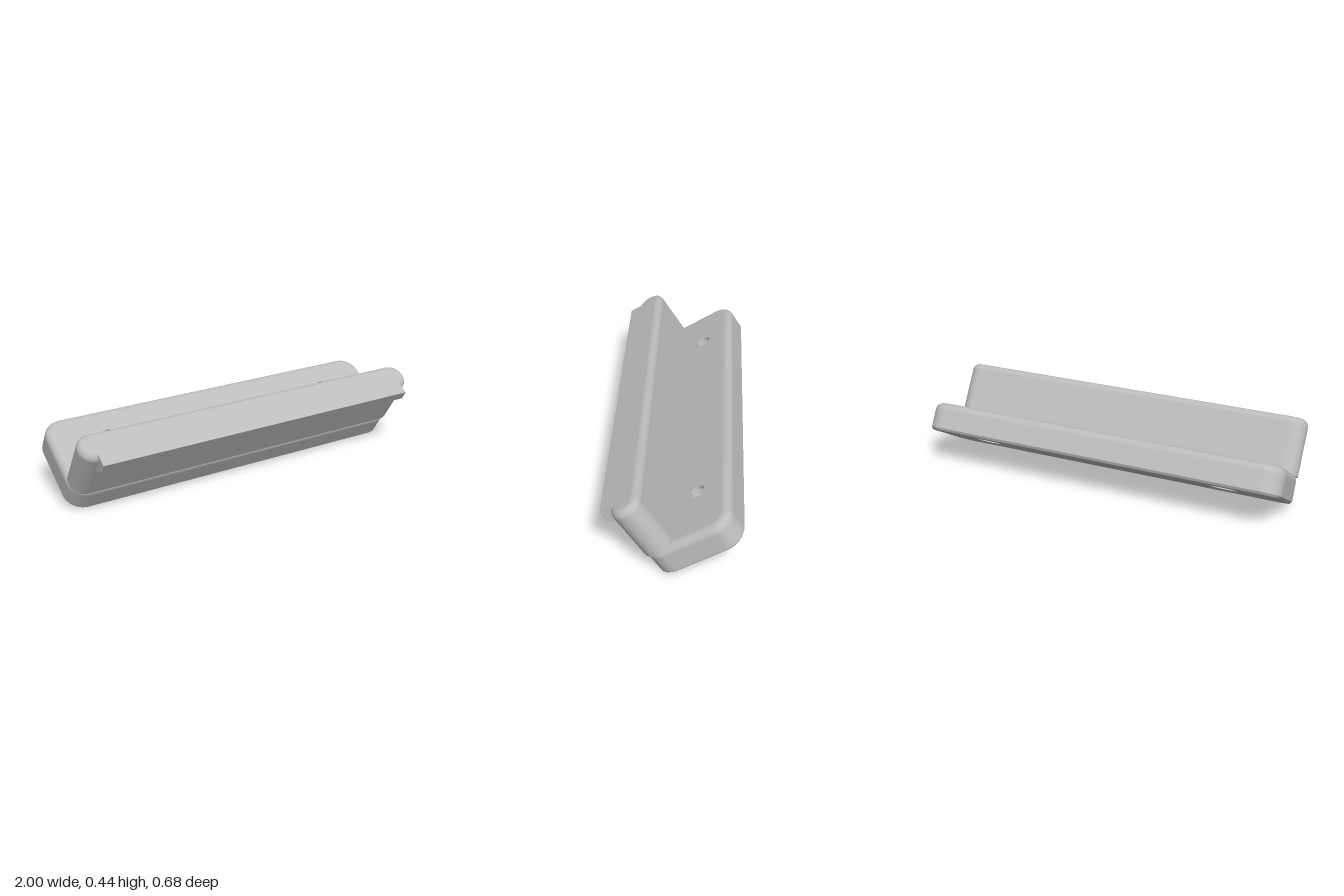
import * as THREE from 'three';
import { mergeGeometries } from 'three/addons/utils/BufferGeometryUtils.js';

const TILT = THREE.MathUtils.degToRad(32);
const CORNER_STEPS = 12;

// Rounded rectangle in plan: positions and outward directions, shrunk by an inset
function outline(halfX, halfU, radius, inset) {
  const pts = [];
  const signs = [[1, 1], [-1, 1], [-1, -1], [1, -1]];
  signs.forEach(([sx, su], corner) => {
    for (let i = 0; i <= CORNER_STEPS; i++) {
      const a = (corner + i / CORNER_STEPS) * Math.PI / 2;
      const nx = Math.cos(a), nu = Math.sin(a);
      pts.push({
        x: sx * (halfX - radius) + nx * (radius - inset),
        u: su * (halfU - radius) + nu * (radius - inset),
        nx, nu
      });
    }
  });
  return pts;
}

// Flat end face, with optional round holes
function cap(pts, y, up, holes, holeRadius) {
  const shape = new THREE.Shape(pts.map(p => new THREE.Vector2(p.x, p.u)));
  for (const [hx, hu] of holes) {
    const hole = new THREE.Path();
    hole.absarc(hx, up ? hu : -hu, holeRadius, 0, Math.PI * 2, true);
    shape.holes.push(hole);
  }
  const g = new THREE.ShapeGeometry(shape, 24);
  g.rotateX(up ? -Math.PI / 2 : Math.PI / 2);
  g.translate(0, y, 0);
  return g;
}

// Slab with rounded corners, a filleted top edge and a chamfered bottom edge
function slab({ halfX, halfU, radius, bottom, top, fillet, chamfer = 0, holes = [], topHole = 0, bottomHole = 0 }) {
  const levels = [];
  if (chamfer) {
    levels.push([chamfer, bottom, -Math.PI / 4], [0, bottom + chamfer, -Math.PI / 4]);
  }
  levels.push([0, bottom + chamfer, 0]);
  for (let i = 0; i <= 8; i++) {
    const a = i / 8 * Math.PI / 2;
    levels.push([fillet * (1 - Math.cos(a)), top - fillet + fillet * Math.sin(a), a]);
  }
  const pos = [], nor = [], uv = [], idx = [];
  let n = 0;
  levels.forEach(([inset, y, a], row) => {
    const ring = outline(halfX, halfU, radius, inset);
    n = ring.length;
    ring.forEach((p, j) => {
      pos.push(p.x, y, -p.u);
      nor.push(p.nx * Math.cos(a), Math.sin(a), -p.nu * Math.cos(a));
      uv.push(j / n, row / levels.length);
    });
  });
  for (let r = 0; r < levels.length - 1; r++) {
    for (let j = 0; j < n; j++) {
      const k = (j + 1) % n;
      const a = r * n + j, b = r * n + k, c = b + n, d = a + n;
      idx.push(a, b, c, a, c, d);
    }
  }
  const side = new THREE.BufferGeometry();
  side.setAttribute('position', new THREE.Float32BufferAttribute(pos, 3));
  side.setAttribute('normal', new THREE.Float32BufferAttribute(nor, 3));
  side.setAttribute('uv', new THREE.Float32BufferAttribute(uv, 2));
  side.setIndex(idx);
  return mergeGeometries([
    side,
    cap(outline(halfX, halfU, radius, fillet), top, true, holes, topHole),
    cap(outline(halfX, halfU, radius, chamfer), bottom, false, holes, bottomHole)
  ]);
}

export function createModel() {
  const model = new THREE.Group();
  model.name = 'angledBracket';
  const grey = new THREE.MeshStandardMaterial({ color: 0xbcbcbc });
  grey.name = 'grey';

  const body = new THREE.Group();
  body.name = 'tiltedBody';
  body.rotation.x = TILT;
  model.add(body);

  const add = (geometry, name, x = 0, z = 0) => {
    const mesh = new THREE.Mesh(geometry, grey);
    mesh.name = name;
    mesh.position.set(x, 0, z);
    body.add(mesh);
  };

  // Mounting plate with two stepped screw holes
  const plateZ = -0.1855, holeX = 0.685, holeU = 0.0585;
  const topHole = 0.038, bottomHole = 0.07;
  const plateBottom = 0.027, plateTop = 0.183, step = 0.163;
  add(slab({
    halfX: 1, halfU: 0.2365, radius: 0.1, bottom: plateBottom, top: plateTop,
    fillet: 0.042, chamfer: 0.012,
    holes: [[holeX, holeU], [-holeX, holeU]], topHole, bottomHole
  }), 'mountingPlate', 0, plateZ);

  // Hole linings, facing inward
  const profile = [[topHole, plateTop], [topHole, step], [bottomHole, step], [bottomHole, plateBottom]]
    .map(([r, y]) => new THREE.Vector2(r, y));
  for (const side of [1, -1]) {
    const parts = [0, 1, 2].map(i => new THREE.LatheGeometry(profile.slice(i, i + 2), 48));
    add(mergeGeometries(parts), side > 0 ? 'leftScrewHole' : 'rightScrewHole', side * holeX, plateZ - holeU);
  }

  // Upright wall with round ends
  add(slab({
    halfX: 1, halfU: 0.079, radius: 0.076, bottom: 0.17, top: 0.473, fillet: 0.038
  }), 'uprightWall', 0, -0.026);

  // Hooked lip along the front of the wall, flush with its top
  const lip = new THREE.Shape([
    [-0.104, 0.473], [-0.104, 0.42], [-0.05, 0.355], [0, 0.355], [0, 0.473]
  ].map(([u, v]) => new THREE.Vector2(u, v)));
  const lipGeometry = new THREE.ExtrudeGeometry(lip, { depth: 1.85, bevelEnabled: false });
  lipGeometry.rotateY(Math.PI / 2);
  lipGeometry.translate(-0.925, 0, 0);
  add(lipGeometry, 'frontLip');

  return model;
}
